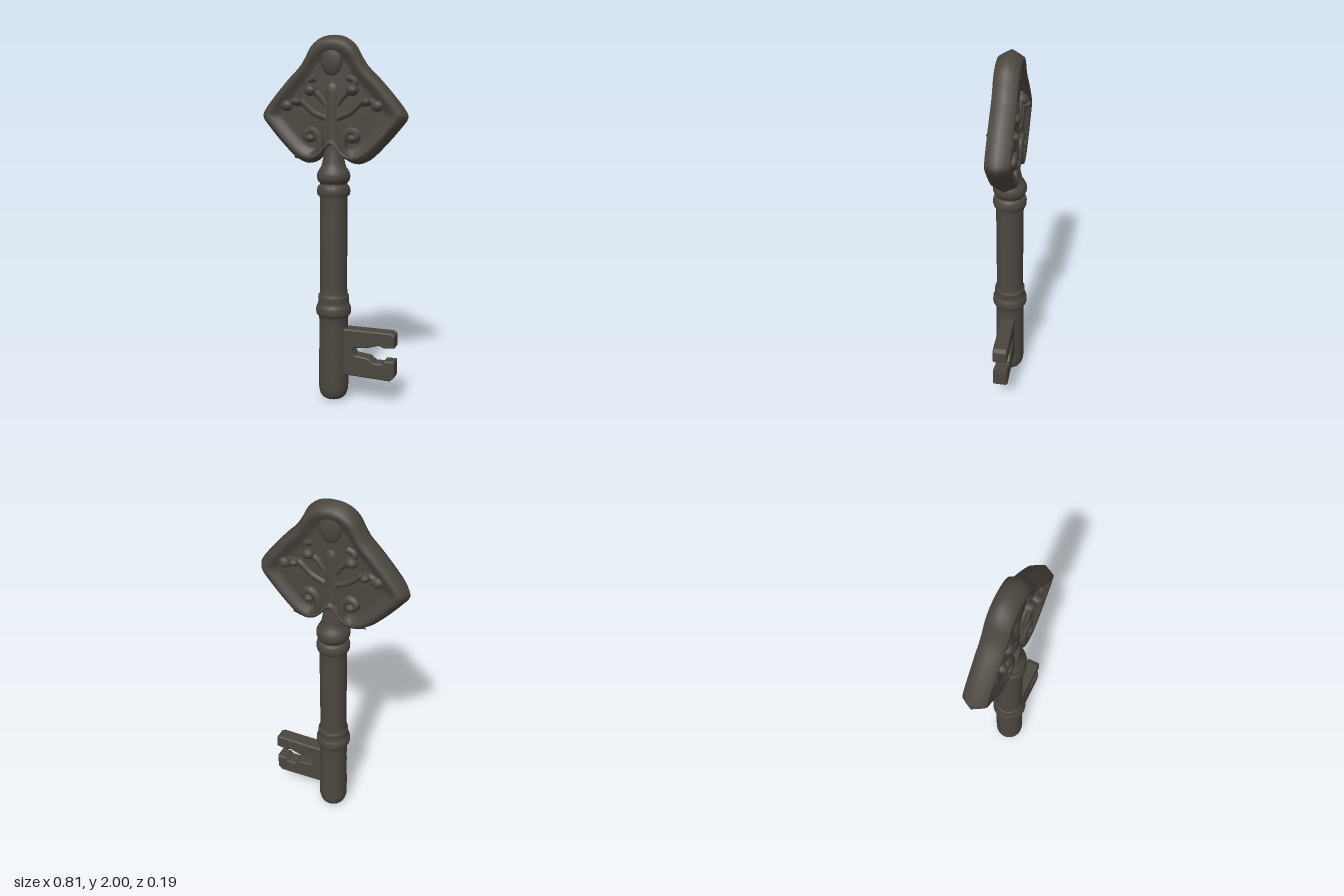
import * as THREE from 'three';

const iron = new THREE.MeshStandardMaterial({ color: 0x4b463f });
iron.name = 'dark iron';

const v2 = (a) => a.map(([x, y]) => new THREE.Vector2(x, y));

function add(parent, name, geometry) {
  const mesh = new THREE.Mesh(geometry, iron);
  mesh.name = name;
  parent.add(mesh);
  return mesh;
}

// Closed, bevelled bow plate with a raised rim and sunken panel on both faces
function bowGeometry() {
  const half = [[0, 2], [0.07, 1.987], [0.125, 1.945], [0.16, 1.885], [0.19, 1.84], [0.25, 1.78],
    [0.34, 1.68], [0.397, 1.605], [0.406, 1.575], [0.36, 1.51], [0.27, 1.41], [0.205, 1.352],
    [0.14, 1.328], [0.08, 1.345], [0.03, 1.4], [0, 1.42]];
  const loop = [...half, ...half.slice(1, -1).reverse().map(([x, y]) => [-x, y])];
  const curve = new THREE.CatmullRomCurve3(loop.map(([x, y]) => new THREE.Vector3(x, y, 0)), true);
  const outline = curve.getPoints(90).slice(0, 90);
  const n = outline.length, cy = 1.6;
  // [scale towards the centre, z]
  const front = [[0.955, 0.035], [0.915, 0.06], [0.86, 0.062], [0.81, 0.055], [0.74, 0.038], [0.68, 0.034], [0.4, 0.036], [0.001, 0.042]];
  const rings = [...front.map(([s, z]) => [s, -z]).reverse(), [1, 0], ...front];
  const pos = [], index = [];
  rings.forEach(([s, z]) => outline.forEach((p) => pos.push(p.x * s, cy + (p.y - cy) * s, z)));
  for (let r = 0; r < rings.length - 1; r++) {
    for (let i = 0; i < n; i++) {
      const a = r * n + i, b = r * n + (i + 1) % n;
      index.push(a, a + n, b, b, a + n, b + n);
    }
  }
  const g = new THREE.BufferGeometry();
  g.setAttribute('position', new THREE.Float32BufferAttribute(pos, 3));
  g.setIndex(index);
  g.computeVertexNormals();
  return g;
}

export function createModel() {
  const key = new THREE.Group();
  key.name = 'key';

  // Turned shaft with rounded tip, collars and a stem tapering into the bow
  const shaft = new THREE.SplineCurve(v2([[0.001, 0], [0.04, 0.004], [0.066, 0.02], [0.079, 0.05], [0.083, 0.1],
    [0.081, 0.3], [0.081, 0.47], [0.096, 0.5], [0.096, 0.535], [0.086, 0.56], [0.085, 0.6], [0.075, 0.635],
    [0.075, 0.9], [0.075, 1.14], [0.087, 1.16], [0.09, 1.185], [0.084, 1.208], [0.073, 1.22], [0.088, 1.245],
    [0.087, 1.28], [0.067, 1.315], [0.058, 1.35], [0.048, 1.42], [0.046, 1.55], [0.05, 1.66], [0.045, 1.74],
    [0.001, 1.79]]));
  add(key, 'shaft', new THREE.LatheGeometry(shaft.getPoints(110), 24));

  // Bit with two notched prongs
  const bit = new THREE.Shape(v2([[0.04, 0.415], [0.335, 0.415], [0.352, 0.405], [0.352, 0.345], [0.3, 0.34],
    [0.27, 0.352], [0.2, 0.33], [0.13, 0.325], [0.112, 0.3], [0.13, 0.27], [0.21, 0.26], [0.24, 0.236],
    [0.29, 0.236], [0.305, 0.255], [0.352, 0.255], [0.352, 0.175], [0.33, 0.155], [0.04, 0.165]]));
  const bitGeometry = new THREE.ExtrudeGeometry(bit, {
    depth: 0.068, bevelEnabled: true, bevelThickness: 0.006, bevelSize: 0.006, bevelSegments: 1,
  });
  bitGeometry.translate(0, 0, -0.034);
  add(key, 'bit', bitGeometry);

  // Bow
  const bow = new THREE.Group();
  bow.name = 'bow';
  key.add(bow);
  add(bow, 'bowPlate', bowGeometry());

  // Relief ornament, mirrored left to right and front to back
  const vines = [
    ['lowerScroll', 0.024, [[0.2, 1.38], [0.12, 1.365], [0.07, 1.4], [0.068, 1.465], [0.105, 1.505], [0.145, 1.485], [0.12, 1.455]]],
    ['leafVine', 0.018, [[0.03, 1.57], [0.1, 1.6], [0.17, 1.655], [0.22, 1.655], [0.27, 1.62]]],
    ['upperVine', 0.018, [[0.03, 1.64], [0.07, 1.69], [0.11, 1.72], [0.13, 1.76], [0.09, 1.78]]],
  ];
  const knobs = [
    ['upperBud', 0.115, 1.715, 0.035, 0.038], ['leafBud', 0.19, 1.655, 0.028, 0.044],
    ['scrollEye', 0.115, 1.465, 0.03, 0.036], ['leafTip', 0.25, 1.635, 0.035, 0.026],
  ];
  for (const sz of [1, -1]) {
    for (const sx of [1, -1]) {
      for (const [name, radius, points] of vines) {
        const path = new THREE.CatmullRomCurve3(points.map(([x, y]) => new THREE.Vector3(sx * x, y, sz * 0.036)));
        add(bow, name, new THREE.TubeGeometry(path, 24, radius, 8));
      }
      for (const [name, x, y, r, depth] of knobs) {
        const knob = add(bow, name, new THREE.SphereGeometry(1, 10, 8));
        knob.scale.set(r, r * 0.85, depth);
        knob.position.set(sx * x, y, sz * 0.04);
      }
    }
    // Crest drop below the top of the rim
    const crest = add(bow, 'crest', new THREE.SphereGeometry(1, 12, 8));
    crest.scale.set(0.06, 0.08, 0.022);
    crest.position.set(0, 1.87, sz * 0.036);
  }
  return key;
}
